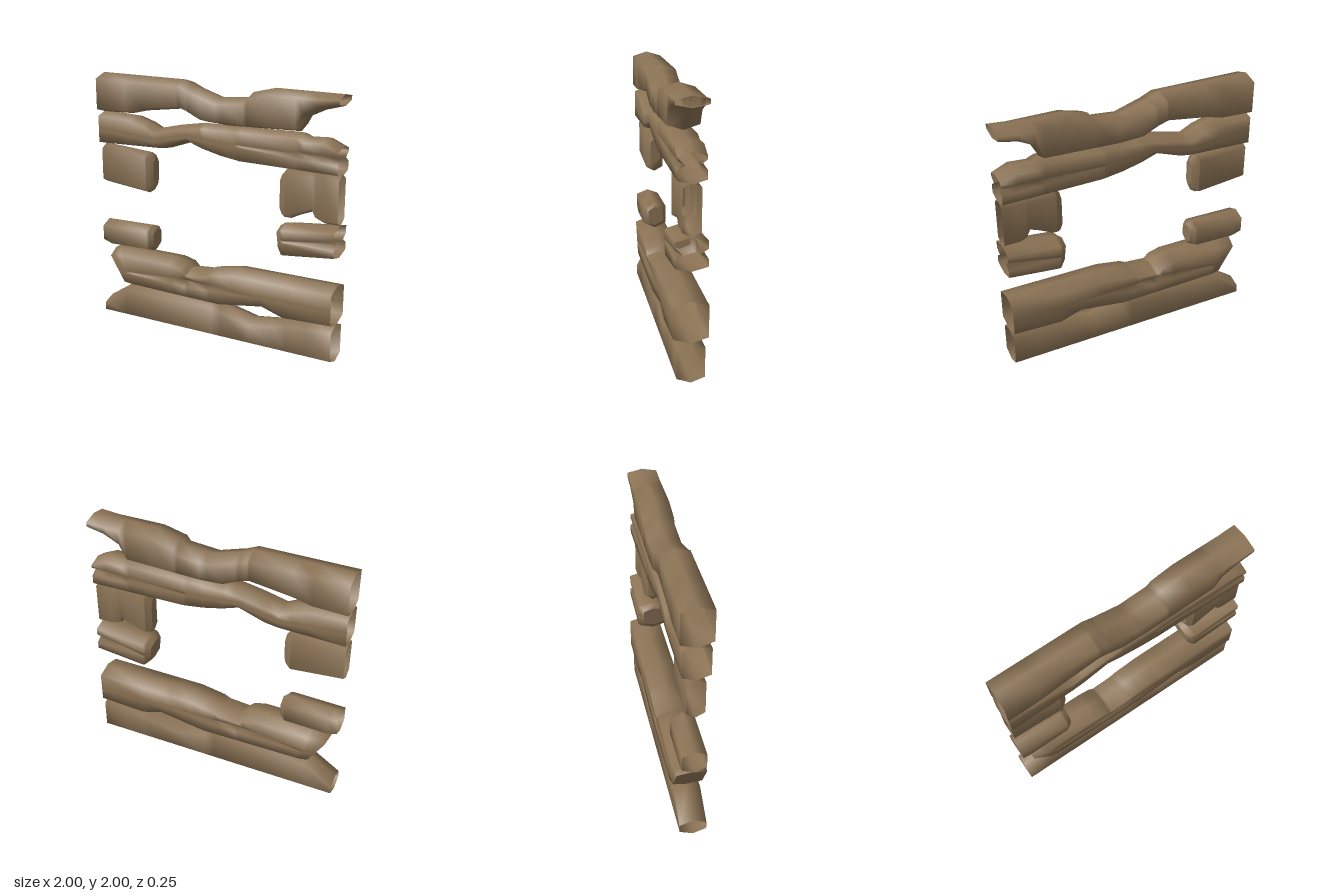
import * as THREE from 'three';

const wood = new THREE.MeshStandardMaterial({ color: 0x8b7355, side: THREE.DoubleSide });
wood.name = 'weathered wood';

// Linear interpolation along a list of [x, value] points
function at(profile, x) {
  if (x <= profile[0][0]) return profile[0][1];
  for (let i = 1; i < profile.length; i++) {
    const [x0, v0] = profile[i - 1], [x1, v1] = profile[i];
    if (x <= x1) return v0 + (v1 - v0) * (x - x0) / (x1 - x0);
  }
  return profile[profile.length - 1][1];
}

// Hollow six-sided log lofted along x; optional V-shaped crack on both sides,
// closed start or end, and a shear that slants the cross-sections
function log(name, { top, bottom, width, crack, crackY, shear, capStart, capEnd, bevel = 0.036 }) {
  const profiles = [top, bottom, width, crack, shear].filter(Boolean);
  const xs = [...new Set(profiles.flatMap(p => p.map(q => q[0])))].sort((a, b) => a - b);
  const rings = xs.map(x => {
    const t = at(top, x), b = at(bottom, x), w = at(width, x);
    const s = Math.min(bevel, (t - b) * 0.3);
    const side = [[t - s, w]];
    if (crack) {
      const d = at(crack, x), o = 0.012 + d * 0.45, y = at(crackY, x);
      side.push([y + o, w], [y, w - d], [y - o, w]);
    }
    side.push([b + s, w]);
    const back = side.map(([y, z]) => [y, -z]).reverse();
    const slant = shear ? at(shear, x) : 0;
    return [[t, 0], ...side, [b, 0], ...back]
      .map(([y, z]) => [x + slant * (t - y) / (t - b), y, z]);
  });

  const n = rings[0].length, pos = rings.flat(2), index = [];
  for (let i = 0; i < rings.length - 1; i++) {
    for (let j = 0; j < n; j++) {
      const a = i * n + j, b = i * n + (j + 1) % n;
      index.push(a, b, b + n, a, b + n, a + n);
    }
  }
  // End faces have their own corners so the edge stays crisp
  const cap = (ring, start) => {
    const base = pos.length / 3;
    pos.push(...ring.flat());
    pos.push(...[0, 1, 2].map(k => ring.reduce((sum, p) => sum + p[k], 0) / n));
    for (let j = 0; j < n; j++) {
      const a = base + j, b = base + (j + 1) % n;
      index.push(base + n, start ? b : a, start ? a : b);
    }
  };
  if (capStart) cap(rings[0], true);
  if (capEnd) cap(rings[rings.length - 1], false);

  const geo = new THREE.BufferGeometry();
  geo.setAttribute('position', new THREE.Float32BufferAttribute(pos, 3));
  geo.setIndex(index);
  geo.computeVertexNormals();
  const mesh = new THREE.Mesh(geo, wood);
  mesh.name = name;
  return mesh;
}

export function createModel() {
  const group = new THREE.Group();
  group.name = 'logWallWithOpening';

  // Full-length logs above the opening
  group.add(log('topLog', {
    top: [[-1, 2], [-0.26, 2], [-0.17, 1.96], [0.04, 1.895], [0.27, 1.915], [0.3, 1.955], [0.48, 2], [1, 2]],
    bottom: [[-1, 1.69], [-0.74, 1.7], [-0.6, 1.735], [-0.28, 1.78], [-0.2, 1.755], [-0.08, 1.7],
      [0.1, 1.69], [0.68, 1.71], [0.74, 1.82], [0.86, 1.88], [1, 1.92]],
    width: [[-1, 0.115], [1, 0.115]],
  }));
  group.add(log('upperLog', {
    top: [[-1, 1.7], [-0.72, 1.69], [-0.6, 1.655], [-0.5, 1.607], [-0.3, 1.655], [-0.1, 1.69],
      [0.68, 1.705], [0.74, 1.68], [0.88, 1.69], [1, 1.637]],
    bottom: [[-1, 1.435], [-0.5, 1.45], [-0.4, 1.465], [-0.2, 1.535], [-0.07, 1.49], [0.08, 1.455],
      [0.24, 1.432], [1, 1.422]],
    width: [[-1, 0.1], [1, 0.1]],
    crack: [[0.2, 0], [1, 0.05]],
    crackY: [[-1, 1.57], [-0.5, 1.53], [-0.2, 1.595], [0.1, 1.57], [1, 1.55]],
    bevel: 0.028,
  }));

  // Short logs on either side of the opening
  group.add(log('upperShortLogRight', {
    top: [[-1, 1.44], [-0.57, 1.41], [-0.54, 1.37]],
    bottom: [[-1, 1.12], [-0.6, 1.08], [-0.555, 1.11], [-0.54, 1.16]],
    width: [[-1, 0.066], [-0.59, 0.066], [-0.54, 0.04]],
    capEnd: true,
  }));
  group.add(log('lowerShortLogRight', {
    top: [[-1, 0.805], [-0.57, 0.815], [-0.54, 0.79]],
    bottom: [[-1, 0.615], [-0.92, 0.59], [-0.57, 0.6], [-0.54, 0.63]],
    width: [[-1, 0.09], [-0.59, 0.09], [-0.54, 0.06]],
    capEnd: true,
  }));
  group.add(log('upperShortLogLeft', {
    top: [[0.54, 1.38], [0.585, 1.43], [1, 1.435]],
    bottom: [[0.54, 1.1], [0.565, 1.06], [0.62, 1.06], [0.7, 1.1], [0.8, 1.14], [0.83, 1.08], [0.88, 1.06], [1, 1.06]],
    width: [[0.54, 0.04], [0.59, 0.066], [1, 0.066]],
    capStart: true,
  }));
  group.add(log('lowerShortLogLeft', {
    top: [[0.535, 0.99], [0.57, 1.015], [1, 1.06]],
    bottom: [[0.535, 0.82], [0.57, 0.775], [1, 0.82]],
    width: [[0.535, 0.08], [0.59, 0.115], [1, 0.115]],
    crack: [[0.57, 0], [1, 0.055]],
    crackY: [[0.535, 0.9], [1, 0.94]],
    shear: [[0.535, 0.02], [0.57, 0.02], [1, 0]],
    capStart: true, bevel: 0.028,
  }));

  // Full-length logs below the opening
  group.add(log('lowerLog', {
    top: [[-0.945, 0.565], [-0.9, 0.59], [-0.36, 0.59], [-0.26, 0.565], [-0.22, 0.525], [-0.05, 0.54],
      [0, 0.565], [0.2, 0.6], [1, 0.605]],
    bottom: [[-0.945, 0.29], [0.08, 0.277], [0.45, 0.335], [0.62, 0.28], [1, 0.297]],
    width: [[-0.945, 0.11], [-0.85, 0.124], [1, 0.124]],
    crack: [[-0.8, 0], [-0.2, 0.05], [0.35, 0]],
    crackY: [[-0.945, 0.41], [-0.2, 0.43], [0.45, 0.44], [1, 0.44]],
    shear: [[-0.945, 0.17], [-0.9, 0.15], [-0.36, 0]],
    capStart: true, bevel: 0.036,
  }));
  group.add(log('bottomLog', {
    top: [[-1, 0.135], [-0.78, 0.28], [0, 0.295], [0.08, 0.27], [0.32, 0.215], [0.52, 0.245], [0.64, 0.275], [0.8, 0.29], [1, 0.295]],
    bottom: [[-1, 0], [1, 0]],
    width: [[-1, 0.1], [1, 0.1]],
  }));
  return group;
}
